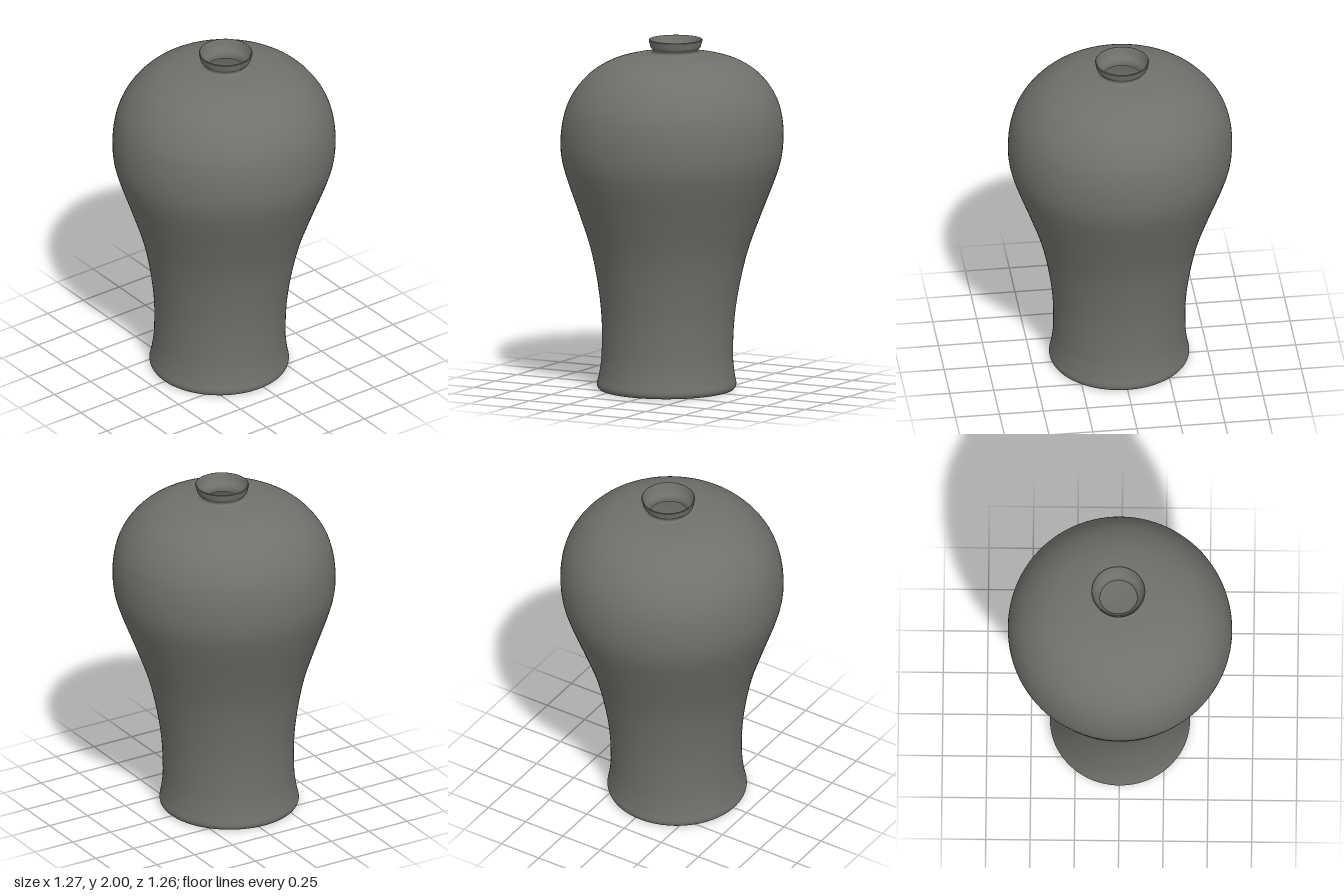
import * as THREE from 'three';

const glaze = new THREE.MeshStandardMaterial({ color: 0x70716b, side: THREE.DoubleSide });
glaze.name = 'greyGreenGlaze';

// Smooth profile through [radius, height] points
function smooth(points, steps) {
  return new THREE.SplineCurve(points.map(([r, y]) => new THREE.Vector2(r, y))).getPoints(steps);
}

// The vase leans slightly backward as it rises and is a touch wider than deep
function lean(geometry) {
  const p = geometry.attributes.position;
  for (let i = 0; i < p.count; i++) {
    const y = p.getY(i);
    const dz = y < 1.4 ? 0.034 * (1 - y / 1.4) : -0.033 * (y - 1.4);
    const dx = y > 1.4 ? -0.017 * (y - 1.4) : 0;
    p.setX(i, p.getX(i) * 1.003 + dx);
    p.setZ(i, p.getZ(i) * 0.995 + dz);
  }
  geometry.computeBoundingSphere();
  return geometry;
}

function turned(name, profile) {
  const mesh = new THREE.Mesh(lean(new THREE.LatheGeometry(profile, 96)), glaze);
  mesh.name = name;
  return mesh;
}

export function createModel() {
  const vase = new THREE.Group();
  vase.name = 'vase';

  // Broad shouldered body narrowing to a waist and flared foot
  vase.add(turned('body', smooth([
    [0.392, 0.015], [0.394, 0.035], [0.383, 0.09], [0.372, 0.2], [0.376, 0.4],
    [0.402, 0.6], [0.446, 0.8], [0.514, 1.0], [0.588, 1.2], [0.622, 1.32],
    [0.631, 1.43], [0.622, 1.54], [0.594, 1.64], [0.542, 1.73], [0.466, 1.81],
    [0.37, 1.868], [0.27, 1.9], [0.18, 1.913], [0.138, 1.918],
  ], 90)));

  // Short neck with a flared lip
  vase.add(turned('neck', smooth([
    [0.138, 1.918], [0.126, 1.928], [0.128, 1.942], [0.141, 1.955], [0.147, 1.975], [0.152, 1.996],
  ], 20)));

  // Rounded rim and sloping mouth opening into the hollow
  vase.add(turned('mouth', smooth([
    [0.152, 1.996], [0.149, 2.0], [0.144, 1.996], [0.132, 1.965], [0.116, 1.942], [0.106, 1.925], [0.104, 1.9],
  ], 24)));

  // Foot ring
  vase.add(turned('footRing', smooth([
    [0.338, 0.03], [0.345, 0.012], [0.362, 0.0], [0.382, 0.002], [0.392, 0.015],
  ], 16)));

  // Recessed base, also the floor seen through the mouth
  vase.add(turned('base', [new THREE.Vector2(0, 0.03), new THREE.Vector2(0.338, 0.03)]));

  return vase;
}
